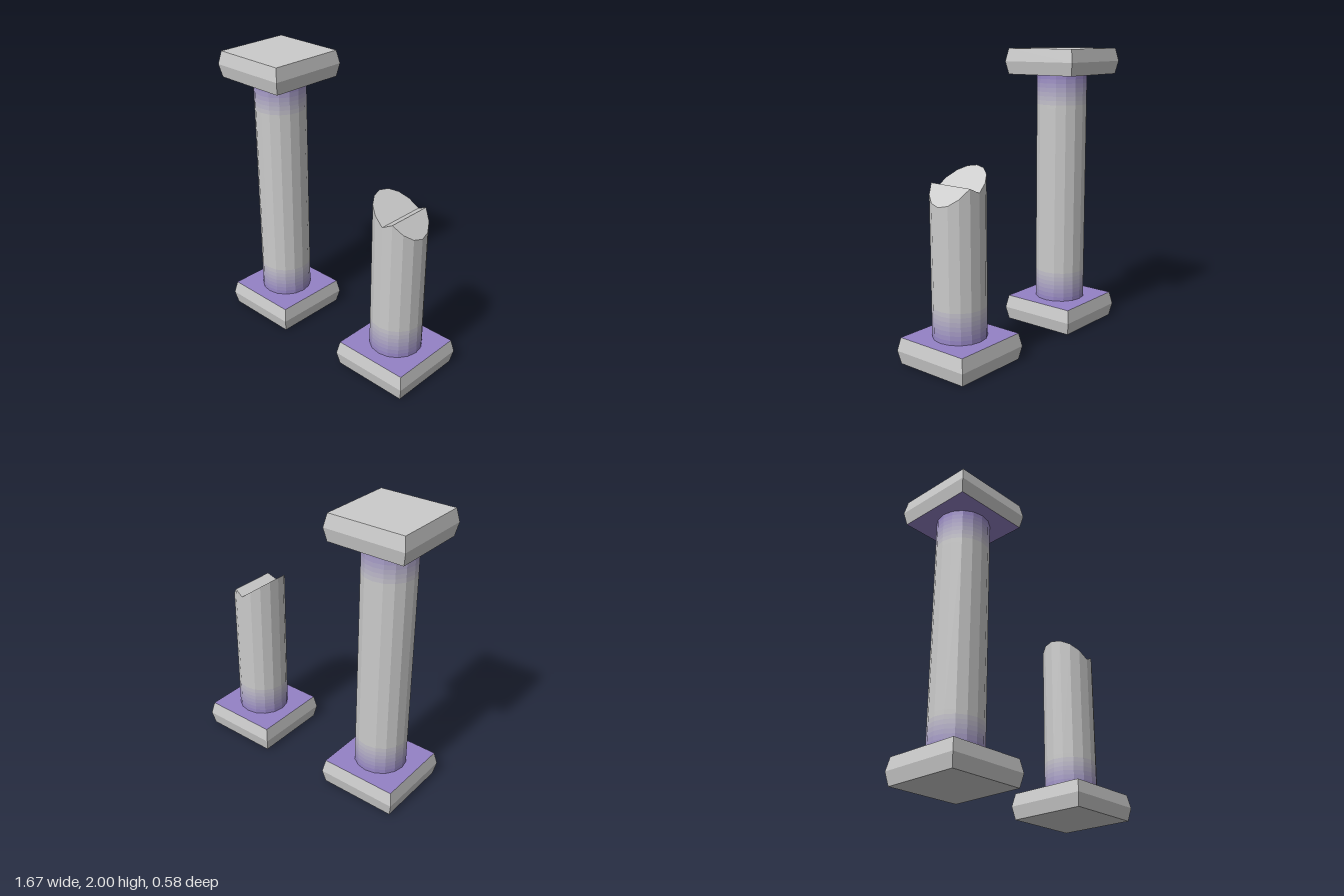
import * as THREE from 'three';

const GREY = 0xcccccc, PURPLE = 0x9482c6;
const R = 0.18, SIDES = 16, BASE_H = 0.18, FADE = 0.24, BANDS = 8;
const INNER = 0.27, OUTER = 0.288;

function makeMesh(name, geometry, color = GREY) {
  const mesh = new THREE.Mesh(geometry, new THREE.MeshStandardMaterial({ color, flatShading: true }));
  mesh.name = name;
  return mesh;
}

// Square block with bulging sides; its inner face (on y = BASE_H) is purple
function slab(name) {
  const group = new THREE.Group();
  group.name = name;
  const d = Math.SQRT2;
  const profile = [[0, 0], [INNER * d, 0], [OUTER * d, BASE_H / 2], [INNER * d, BASE_H]]
    .map(([x, y]) => new THREE.Vector2(x, y));
  group.add(makeMesh(name + 'Block', new THREE.LatheGeometry(profile, 4, Math.PI / 4)));
  const face = new THREE.PlaneGeometry(INNER * 2, INNER * 2).rotateX(-Math.PI / 2).translate(0, BASE_H, 0);
  group.add(makeMesh(name + 'InnerFace', face, PURPLE));
  return group;
}

// Open shaft section between two heights
function section(name, y0, y1, color) {
  const g = new THREE.CylinderGeometry(R, R, y1 - y0, SIDES, 1, true).translate(0, (y0 + y1) / 2, 0);
  return makeMesh(name, g, color);
}

// Thin bands fading from purple at yStart to grey at yEnd
function fade(name, yStart, yEnd) {
  const group = new THREE.Group();
  group.name = name;
  const step = (yEnd - yStart) / BANDS;
  for (let i = 0; i < BANDS; i++) {
    const a = yStart + i * step, b = a + step;
    const color = new THREE.Color(PURPLE).lerp(new THREE.Color(GREY), (i + 0.5) / BANDS);
    group.add(section('fadeBand', Math.min(a, b), Math.max(a, b), color));
  }
  return group;
}

// Jagged height of the broken shaft across x
const RIDGE = R * Math.cos(3 * Math.PI / 8);
const BREAK = [[-R, 1.28], [0, 1.145], [RIDGE, 1.18], [R, 1.06]];
function breakHeight(x) {
  const i = x < -1e-6 ? 0 : x < RIDGE - 1e-6 ? 1 : 2;
  const [x0, y0] = BREAK[i], [x1, y1] = BREAK[i + 1];
  return y0 + (y1 - y0) * (x - x0) / (x1 - x0);
}

function brokenShaft(y0) {
  const group = new THREE.Group();
  group.name = 'brokenShaft';
  // Side wall with its upper rim moved to the break line
  const wall = section('brokenShaftWall', y0, 1);
  const p = wall.geometry.attributes.position;
  for (let i = 0; i < p.count; i++) {
    if (p.getY(i) > 0.9) p.setY(i, breakHeight(p.getX(i)));
  }
  wall.geometry.computeVertexNormals();
  // Break surface as strips running front to back
  const pos = [];
  const rim = (k, s) => {
    const a = k * Math.PI * 2 / SIDES, x = R * Math.cos(a);
    return [x, breakHeight(x), s * R * Math.sin(a)];
  };
  for (let k = 0; k < SIDES / 2; k++) {
    const f0 = rim(k, 1), b0 = rim(k, -1), f1 = rim(k + 1, 1), b1 = rim(k + 1, -1);
    if (k > 0) pos.push(...f0, ...b0, ...b1);
    if (k < SIDES / 2 - 1) pos.push(...f0, ...b1, ...f1);
  }
  const top = new THREE.BufferGeometry();
  top.setAttribute('position', new THREE.Float32BufferAttribute(pos, 3));
  top.computeVertexNormals();
  group.add(wall, makeMesh('breakSurface', top));
  return group;
}

export function createModel() {
  const model = new THREE.Group();
  model.name = 'ruinedColumns';
  const low = BASE_H + FADE, high = 2 - BASE_H - FADE;

  // Whole column with capital
  const whole = new THREE.Group();
  whole.name = 'wholeColumn';
  whole.position.x = -0.547;
  const cap = slab('capital');
  cap.rotation.x = Math.PI;
  cap.position.y = 2;
  whole.add(slab('base'), cap, section('shaft', low, high),
    fade('lowerFade', BASE_H, low), fade('upperFade', 2 - BASE_H, high));

  // Broken column
  const broken = new THREE.Group();
  broken.name = 'brokenColumn';
  broken.position.x = 0.545;
  broken.add(slab('base'), fade('lowerFade', BASE_H, low), brokenShaft(low));

  model.add(whole, broken);
  return model;
}
